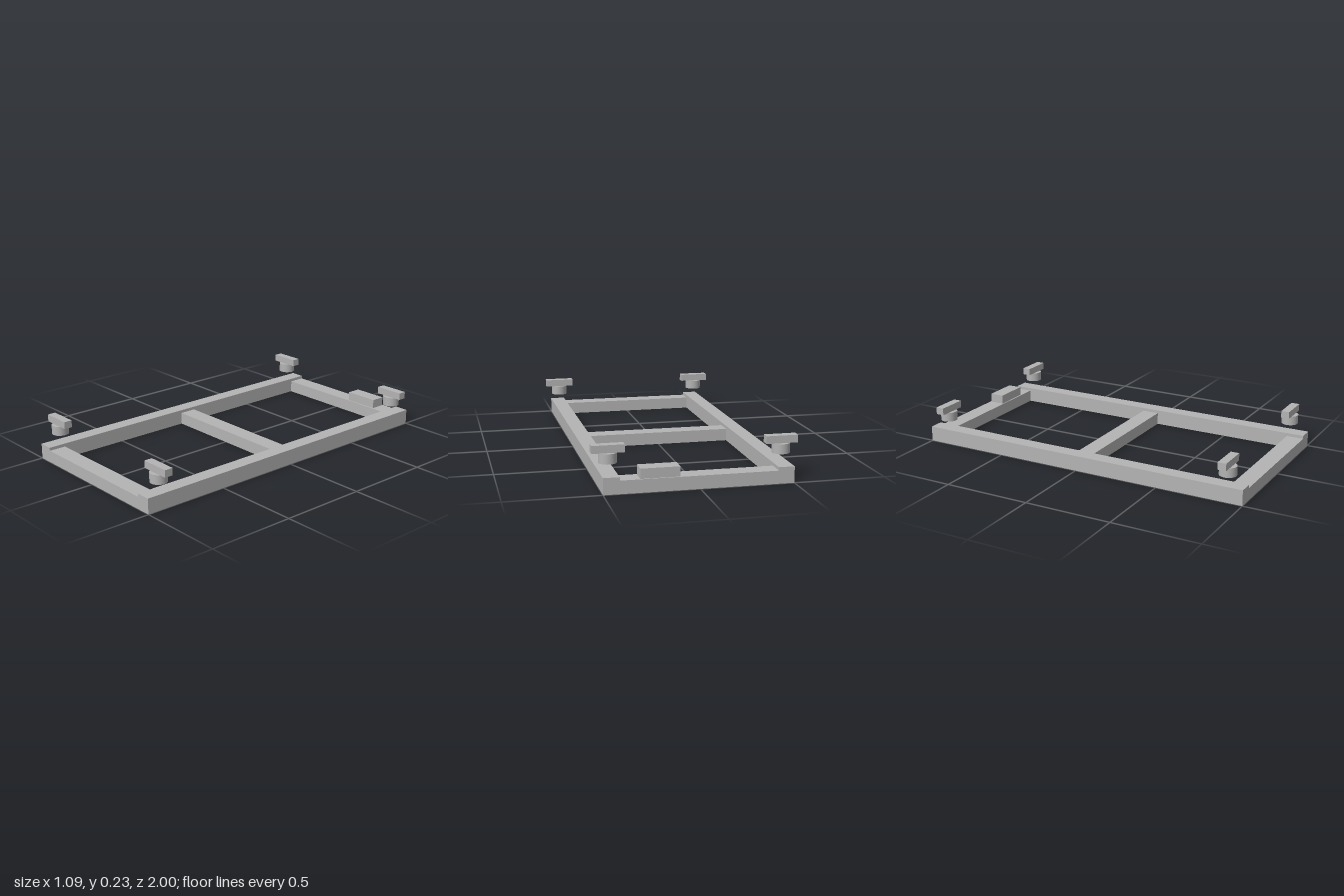
import * as THREE from 'three';

export function createModel() {
  const model = new THREE.Group();
  model.name = 'clampFrame';
  const grey = new THREE.MeshStandardMaterial({ color: 0xb4b4b4 });
  grey.name = 'grey';

  // Box placed by its centre in x and z and by its underside in y
  function box(name, w, h, d, x, y, z, parent = model) {
    const mesh = new THREE.Mesh(new THREE.BoxGeometry(w, h, d), grey);
    mesh.name = name;
    mesh.position.set(x, y + h / 2, z);
    parent.add(mesh);
  }

  // Long side rails
  for (const [side, s] of [['left', 1], ['right', -1]]) {
    box(side + 'Rail', 0.085, 0.088, 2, s * 0.4575, 0, 0);
  }

  // Lower crossbars between the rails
  for (const [name, z] of [['front', 0.95], ['middle', 0], ['back', -0.95]]) {
    box(name + 'Crossbar', 0.83, 0.07, 0.1, 0, 0, z);
  }

  // Block on the back crossbar
  box('block', 0.206, 0.053, 0.085, 0.206, 0.07, -0.95);

  // Corner knobs floating above the rails
  for (const x of [-0.4575, 0.4575]) {
    for (const z of [-0.897, 0.897]) {
      const knob = new THREE.Group();
      knob.name = (z > 0 ? 'front' : 'back') + (x > 0 ? 'Left' : 'Right') + 'Knob';
      knob.position.set(x, 0.14, z);
      const stem = new THREE.Mesh(new THREE.CylinderGeometry(0.048, 0.048, 0.053, 48), grey);
      stem.name = 'stem';
      stem.position.y = 0.0265;
      knob.add(stem);
      box('handle', 0.171, 0.041, 0.048, 0, 0.053, 0, knob);
      model.add(knob);
    }
  }

  return model;
}
